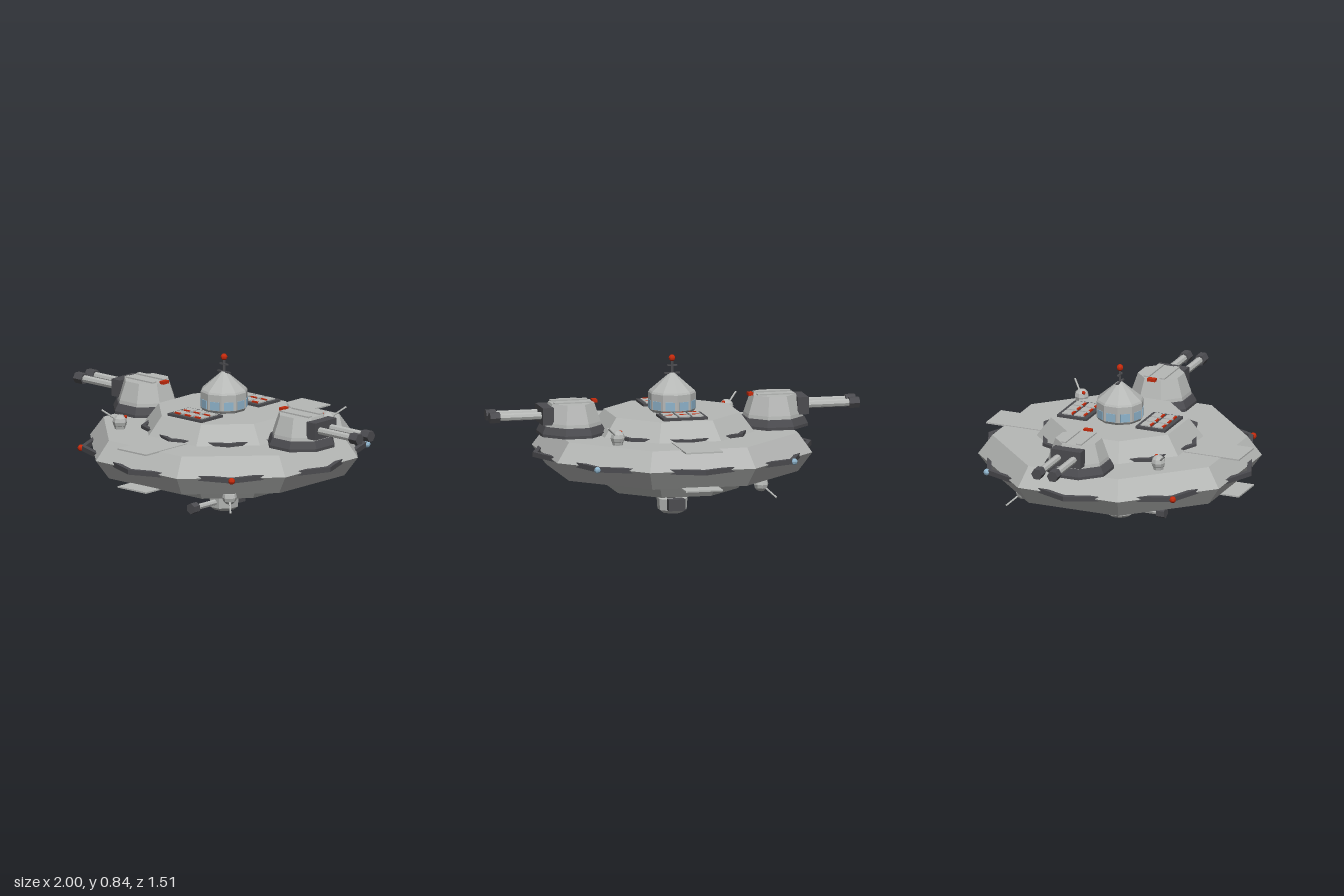
import * as THREE from 'three';

const mat = (name, color) => Object.assign(new THREE.MeshStandardMaterial({ color }), { name });
const K = 1 / Math.cos(Math.PI / 8); // apothem to corner radius of an octagon

export function createModel() {
  const root = new THREE.Group();
  root.name = 'spaceStation';
  const plating = mat('grey plating', 0xb6b8b6);
  const dark = mat('dark metal', 0x4c4c50);
  const red = mat('red light', 0xc42a0c);
  const blue = mat('blue glass', 0x8fb4cc);

  // Adds a faceted mesh to a parent
  const add = (parent, name, geo, material, x = 0, y = 0, z = 0) => {
    const g = geo.index ? geo.toNonIndexed() : geo;
    g.computeVertexNormals();
    const m = new THREE.Mesh(g, material);
    m.name = name;
    m.position.set(x, y, z);
    parent.add(m);
    return m;
  };
  const box = (w, h, d) => new THREE.BoxGeometry(w, h, d);
  const ball = (r) => new THREE.SphereGeometry(r, 8, 6);
  const lathe = (pts, sides, start) =>
    new THREE.LatheGeometry(pts.map(([r, y]) => new THREE.Vector2(r, y)), sides, start);
  // Octagonal solid whose flats face the axes; radii are given to the flats
  const octagon = (pts) => lathe(pts.map(([r, y]) => [r * K, y]), 8, Math.PI / 8);
  const rod = (r, len, sides, axis) => {
    const g = new THREE.CylinderGeometry(r, r, len, sides);
    return axis === 'x' ? g.rotateZ(-Math.PI / 2) : g.rotateX(Math.PI / 2);
  };

  // Hull with upper and lower decks
  add(root, 'hull', octagon([[0, 0.14], [0.325, 0.14], [0.395, 0.24], [0.62, 0.24], [0.69, 0.342],
    [0.62, 0.445], [0.405, 0.445], [0.335, 0.545], [0, 0.545]]), plating);

  // Octagonal rings turned so that their corners stand out from the hull faces
  const ring = (name, r0, r1, y, h) => add(root, name,
    lathe([[r0, -h], [r1, -h], [r1, h], [r0, h], [r0, -h]], 8, 0), dark, 0, y, 0);
  ring('hullRing', 0.728, 0.754, 0.342, 0.013);
  ring('upperDeckRing', 0.412, 0.437, 0.45, 0.012);
  ring('lowerDeckRing', 0.412, 0.437, 0.235, 0.012);

  // Landing plates reaching past the front and back
  for (const y of [0.445, 0.24]) add(root, 'landingPlate', box(0.2, 0.008, 1.45), plating, 0, y, 0);

  // Lights on the diagonal ring corners
  for (const x of [-0.533, 0.533]) {
    add(root, 'frontRingLight', ball(0.018), red, x, 0.342, 0.533);
    add(root, 'backRingLight', ball(0.018), blue, x, 0.342, -0.533);
  }

  // Command tower with cone roof and windows
  add(root, 'tower', lathe([[0.115, 0.545], [0.126, 0.56], [0.126, 0.645], [0.12, 0.655],
    [0.012, 0.748], [0, 0.748]], 10, 0), plating);
  for (let i = 0; i < 10; i++) {
    const a = (i + 0.5) * Math.PI / 5;
    const w = add(root, 'towerWindow', box(0.052, 0.045, 0.006), blue,
      Math.sin(a) * 0.12, 0.585, Math.cos(a) * 0.12);
    w.rotation.y = a;
  }

  // Mast with crossbars and beacon
  add(root, 'mast', new THREE.CylinderGeometry(0.007, 0.007, 0.08, 6), dark, 0, 0.78, 0);
  add(root, 'lowerCrossbar', box(0.085, 0.007, 0.012), dark, 0, 0.746, 0);
  add(root, 'upperCrossbar', box(0.054, 0.007, 0.012), dark, 0, 0.787, 0);
  add(root, 'beacon', ball(0.018), red, 0, 0.826, 0);

  // Launch panels with tiles and red sills
  for (const pz of [-0.225, 0.225]) {
    add(root, 'launchPanel', box(0.24, 0.016, 0.17), dark, 0, 0.55, pz);
    for (const dz of [-0.027, 0.043]) for (const x of [-0.071, 0, 0.071]) {
      add(root, 'launchTile', box(0.06, 0.008, 0.055), plating, x, 0.56, pz + dz - 0.01);
      add(root, 'launchSill', box(0.04, 0.009, 0.011), red, x, 0.561, pz + dz + 0.015);
    }
  }

  // Twin-barrel turrets on each side
  for (const turn of [0, Math.PI]) {
    const t = new THREE.Group();
    t.name = 'sideTurret';
    t.rotation.y = turn;
    root.add(t);
    add(t, 'turretBase', octagon([[0.172, 0.445], [0.172, 0.46], [0.155, 0.497], [0, 0.497]]), dark, 0.546, 0, 0);
    add(t, 'turretBody', octagon([[0.148, 0.495], [0.145, 0.515], [0.113, 0.615], [0, 0.615]]), plating, 0.546, 0, 0);
    add(t, 'gunMantle', box(0.06, 0.092, 0.17), dark, 0.69, 0.555, 0);
    for (const z of [-0.045, 0.045]) {
      add(t, 'barrel', rod(0.02, 0.25, 8, 'x'), plating, 0.83, 0.555, z);
      add(t, 'muzzle', rod(0.031, 0.055, 6, 'x'), dark, 0.9725, 0.555, z);
      add(t, 'roofRail', box(0.2, 0.01, 0.03), plating, 0.55, 0.617, z);
    }
    add(t, 'turretLight', box(0.026, 0.016, 0.045), red, 0.422, 0.617, 0);
  }

  // Small ball guns: two above, two below on the other diagonal
  const ballGun = (x, y, z, flip) => {
    const g = new THREE.Group();
    g.name = flip ? 'lowerBallGun' : 'upperBallGun';
    g.position.set(x, y, z);
    g.rotation.set(0, Math.atan2(x, z), flip ? Math.PI : 0);
    root.add(g);
    add(g, 'gunFoot', new THREE.CylinderGeometry(0.035, 0.027, 0.04, 8), plating, 0, -0.022, 0);
    add(g, 'gunBall', ball(0.039), plating);
    const b = add(g, 'gunBarrel', new THREE.CylinderGeometry(0.005, 0.005, 0.11, 6), plating, 0, 0.033, 0.05);
    b.rotation.x = Math.atan2(0.09, 0.06);
    if (!flip) add(g, 'gunLight', ball(0.01), red, 0, 0.025, -0.029);
  };
  ballGun(-0.388, 0.483, 0.388, false);
  ballGun(0.388, 0.483, -0.388, false);
  ballGun(0.388, 0.203, 0.388, true);
  ballGun(-0.388, 0.203, -0.388, true);

  // Belly turret with a single forward gun
  add(root, 'bellyMount', octagon([[0, 0.092], [0.08, 0.092], [0.085, 0.14]]), dark);
  add(root, 'bellyTurret', octagon([[0, 0], [0.05, 0.003], [0.072, 0.02], [0.076, 0.08], [0.06, 0.094], [0, 0.094]]), plating);
  add(root, 'bellyCounterweight', box(0.09, 0.06, 0.05), dark, 0, 0.058, -0.095);
  add(root, 'bellyBarrel', rod(0.016, 0.17, 8, 'z'), plating, 0, 0.05, 0.145);
  add(root, 'bellyMuzzle', rod(0.03, 0.045, 6, 'z'), dark, 0, 0.05, 0.24);

  return root;
}
